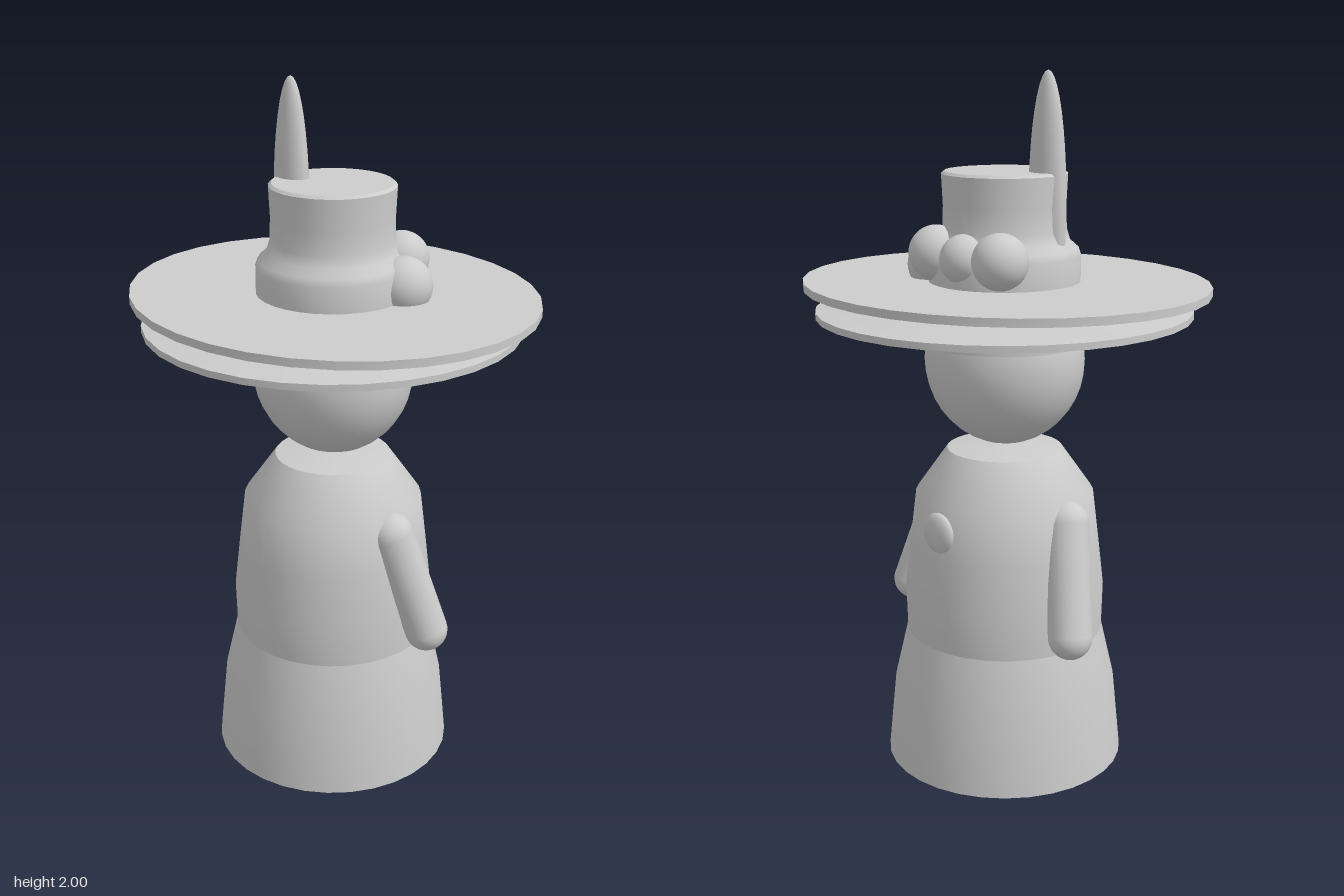
import * as THREE from 'three';
import { toCreasedNormals } from 'three/addons/utils/BufferGeometryUtils.js';

export function createModel() {
  const group = new THREE.Group();
  const grey = new THREE.MeshStandardMaterial({ color: 0xcccccc, side: THREE.DoubleSide });
  grey.name = 'pale grey';

  function add(name, geometry, x = 0, y = 0, z = 0) {
    const mesh = new THREE.Mesh(geometry, grey);
    mesh.name = name;
    mesh.position.set(x, y, z);
    group.add(mesh);
    return mesh;
  }
  // turned part from a bottom-to-top profile of [radius, height]
  function turned(name, profile) {
    const points = profile.map(([r, y]) => new THREE.Vector2(r, y));
    return add(name, toCreasedNormals(new THREE.LatheGeometry(points, 32), 0.6));
  }
  function ball(name, x, y, z, rx, ry = rx, rz = rx) {
    const mesh = add(name, new THREE.SphereGeometry(1, 32, 20), x, y, z);
    mesh.scale.set(rx, ry, rz);
    return mesh;
  }

  // robe
  turned('robe', [[0.278, 0.46], [0.281, 0.58], [0.265, 0.72], [0.248, 0.86],
    [0.16, 0.985], [0.08, 0.997], [0, 1.0]]);
  turned('skirt', [[0, 0.1], [0.333, 0.1], [0.337, 0.08], [0.315, 0.3], [0.278, 0.46]]);
  ball('backButton', 0, 0.79, -0.252, 0.055, 0.058, 0.022);

  // arms, hands and feet, mirrored
  for (const side of [-1, 1]) {
    const prefix = side > 0 ? 'left' : 'right';
    const shoulder = new THREE.Vector3(side * 0.235, 0.815, 0);
    const hand = new THREE.Vector3(side * 0.313, 0.525, -0.066);
    const along = hand.clone().sub(shoulder);
    const sleeve = add(prefix + 'Sleeve', new THREE.CylinderGeometry(0.06, 0.062, along.length(), 24));
    sleeve.position.copy(shoulder).add(hand).multiplyScalar(0.5);
    sleeve.quaternion.setFromUnitVectors(new THREE.Vector3(0, 1, 0), along.normalize());
    ball(prefix + 'Shoulder', ...shoulder.toArray(), 0.061);
    ball(prefix + 'Hand', ...hand.toArray(), 0.06);
    ball(prefix + 'Foot', side * 0.1, 0.065, -0.06, 0.09, 0.065, 0.13);
  }

  // head
  ball('head', 0, 1.235, 0, 0.225, 0.235, 0.213);

  // hat, from the headband up
  turned('headband', [[0.205, 1.29], [0.238, 1.29], [0.238, 1.305], [0.231, 1.315], [0.225, 1.365]]);
  turned('lowerBrim', [[0, 1.36], [0.51, 1.36], [0.51, 1.378], [0.25, 1.412], [0.27, 1.43]]);
  const brim = add('upperBrim', toCreasedNormals(new THREE.CylinderGeometry(1, 1, 0.022, 32), 0.6), 0, 1.44, 0);
  brim.scale.set(0.577, 1, 0.517);
  turned('crown', [[0.205, 1.445], [0.205, 1.52], [0.198, 1.54], [0.175, 1.56], [0.166, 1.59],
    [0.164, 1.65], [0.168, 1.735], [0.16, 1.742], [0, 1.742]]);

  // feather and round trimmings
  ball('feather', -0.121, 1.65, 0.036, 0.057, 0.35, 0.04);
  const trimmings = [[-0.138, 1.53, -0.156, 0.074], [-0.017, 1.525, -0.165, 0.066],
    [0.1, 1.53, -0.156, 0.074], [0.175, 1.485, -0.088, 0.078]];
  for (const [x, y, z, r] of trimmings) ball('hatTrimming', x, y, z, r);

  return group;
}
